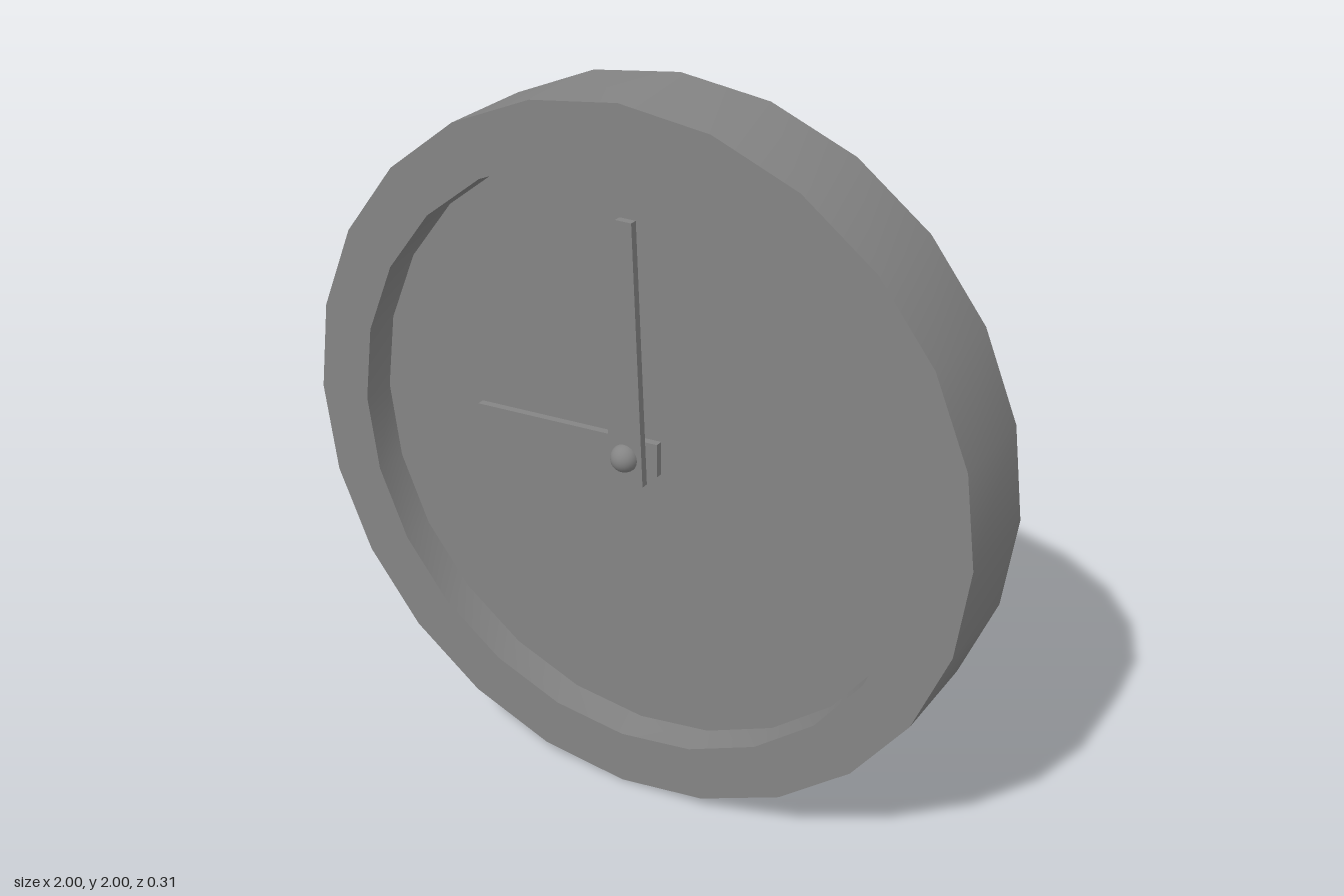
import * as THREE from 'three';
import { toCreasedNormals } from 'three/addons/utils/BufferGeometryUtils.js';

const material = new THREE.MeshStandardMaterial({ color: 0x848484 });
const BACK = -0.155, FRONT = 0.143, FLOOR = 0.04;
const PIVOT_Y = 1.028;

function addMesh(parent, name, geometry) {
  const mesh = new THREE.Mesh(geometry, material);
  mesh.name = name;
  parent.add(mesh);
  return mesh;
}

// Tapered bar pointing up from the pivot, with a short wide tail
function handGeometry(length, tail, tipHalf, tailHalf, depth) {
  const shape = new THREE.Shape([
    new THREE.Vector2(-tailHalf, -tail),
    new THREE.Vector2(tailHalf, -tail),
    new THREE.Vector2(tipHalf, length),
    new THREE.Vector2(-tipHalf, length),
  ]);
  return new THREE.ExtrudeGeometry(shape, { depth, bevelEnabled: false });
}

export function createModel() {
  const group = new THREE.Group();
  group.name = 'wallClock';

  // Case: back plate, outer wall, front rim, recess wall and dial in one lathe
  const profile = [
    [0, BACK], [1, BACK], [1, FRONT], [0.842, FRONT], [0.842, FLOOR], [0, FLOOR],
  ].map(([r, h]) => new THREE.Vector2(r, h));
  const caseGeometry = toCreasedNormals(new THREE.LatheGeometry(profile, 24), 0.6);
  caseGeometry.rotateX(Math.PI / 2);
  addMesh(group, 'case', caseGeometry).position.y = 1;

  // Hands turn about a shared pivot
  const minuteHand = addMesh(group, 'minuteHand', handGeometry(0.662, 0.073, 0.024, 0.056, 0.022));
  minuteHand.position.set(0, PIVOT_Y, 0.1);

  const hourHand = addMesh(group, 'hourHand', handGeometry(0.49, 0.083, 0.024, 0.048, 0.022));
  hourHand.position.set(0, PIVOT_Y, 0.072);
  hourHand.rotation.z = Math.PI / 2;

  // Ball covering the pivot
  addMesh(group, 'pivotCap', new THREE.SphereGeometry(0.039, 24, 16)).position.set(0, PIVOT_Y, 0.12);

  return group;
}
